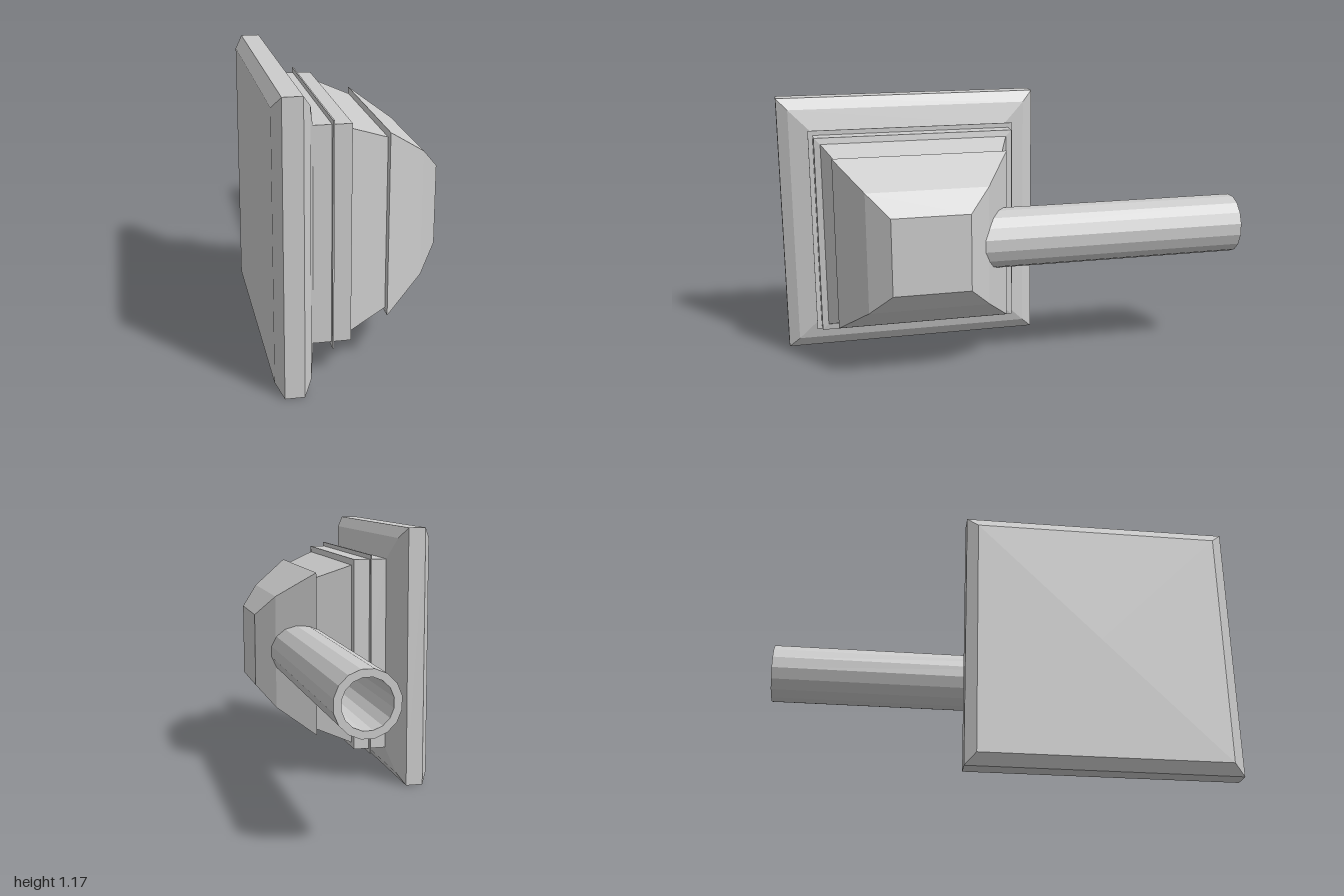
import * as THREE from 'three';

const CENTER_Y = 0.583, CENTER_Z = 0.417;
const material = new THREE.MeshStandardMaterial({ color: 0xcccccc, flatShading: true });

// Revolve a [radius, height] profile with few sides, faceted
function facetedLathe(profile, sides, phiStart) {
  const points = profile.map(([r, h]) => new THREE.Vector2(r, h));
  const geometry = new THREE.LatheGeometry(points, sides, phiStart).toNonIndexed();
  geometry.computeVertexNormals();
  return geometry;
}

// Square stack along x from [x, half side] steps, capped at both ends
function squareStack(name, steps) {
  const profile = steps.map(([x, half]) => [half * Math.SQRT2, x]);
  profile.unshift([0, steps[0][0]]);
  profile.push([0, steps[steps.length - 1][0]]);
  const geometry = facetedLathe(profile, 4, Math.PI / 4);
  geometry.rotateZ(-Math.PI / 2);
  const mesh = new THREE.Mesh(geometry, material);
  mesh.name = name;
  mesh.position.set(0, CENTER_Y, CENTER_Z);
  return mesh;
}

export function createModel() {
  const model = new THREE.Group();
  model.name = 'squareHousingWithPipe';

  // Bevelled mounting plate
  model.add(squareStack('basePlate', [
    [-0.362, 0.535], [-0.33, 0.583], [-0.253, 0.583], [-0.22, 0.535], [-0.195, 0.437],
  ]));

  // Straight collar, with a thin seam plate standing proud of it
  model.add(squareStack('collar', [[-0.195, 0.437], [-0.046, 0.437], [-0.041, 0.41]]));
  model.add(squareStack('seamPlate', [[-0.123, 0.457], [-0.117, 0.457]]));

  // Tapered neck and overlapping pyramidal cap
  model.add(squareStack('neck', [[-0.041, 0.41], [0.11, 0.352]]));
  model.add(squareStack('cap', [
    [0.11, 0.352], [0.114, 0.376], [0.28, 0.26], [0.361, 0.167],
  ]));

  // Hollow pipe running out of the cap to the back
  const pipeGeometry = facetedLathe([
    [0.131, -0.2], [0.131, 1], [0.1, 1], [0.1, -0.2], [0.131, -0.2],
  ], 16, Math.PI / 16);
  pipeGeometry.rotateX(-Math.PI / 2);
  const pipe = new THREE.Mesh(pipeGeometry, material);
  pipe.name = 'pipe';
  pipe.position.set(0.168, CENTER_Y + 0.002, 0);
  model.add(pipe);

  return model;
}
